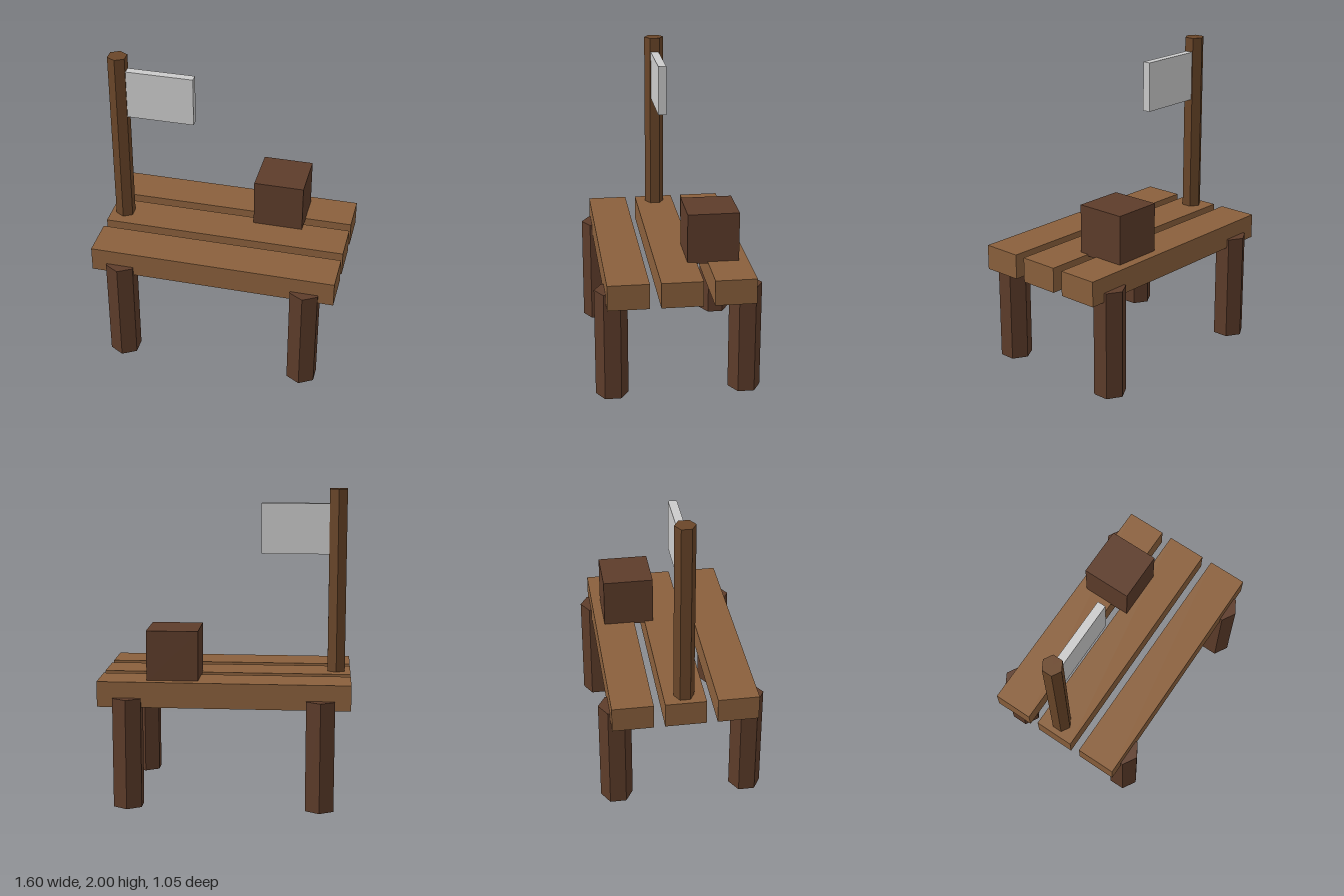
import * as THREE from 'three';

const paint = (color) => new THREE.MeshStandardMaterial({ color, flatShading: true });

export function createModel() {
  const model = new THREE.Group();
  const plankWood = paint(0x8a603c);
  const darkWood = paint(0x5d3c2a);
  const poleWood = paint(0x6a4629);
  const grey = paint(0xcccccc);

  const add = (name, geometry, material, x, y, z) => {
    const mesh = new THREE.Mesh(geometry, material);
    mesh.name = name;
    mesh.position.set(x, y, z);
    model.add(mesh);
  };

  // Three deck planks with gaps between them
  const plank = new THREE.BoxGeometry(1.6, 0.163, 0.26);
  for (const z of [-0.33, 0, 0.33]) add('plank', plank, plankWood, 0, 0.732, z);

  // Four hexagonal legs, pushed up into the outer planks
  const leg = new THREE.CylinderGeometry(0.104, 0.104, 0.71, 6);
  for (const x of [-0.61, 0.61]) {
    for (const z of [-0.423, 0.423]) add('leg', leg, darkWood, x, 0.355, z);
  }

  // Hexagonal flag pole on the middle plank
  add('flagPole', new THREE.CylinderGeometry(0.065, 0.065, 1.2, 6), poleWood, -0.707, 1.4, 0);

  // Flat flag panel, butted against the pole
  add('flag', new THREE.BoxGeometry(0.44, 0.326, 0.053), grey, -0.434, 1.743, 0);

  // Crate resting across the back and middle planks
  add('crate', new THREE.BoxGeometry(0.328, 0.328, 0.328), darkWood, 0.327, 0.967, -0.236);

  return model;
}
